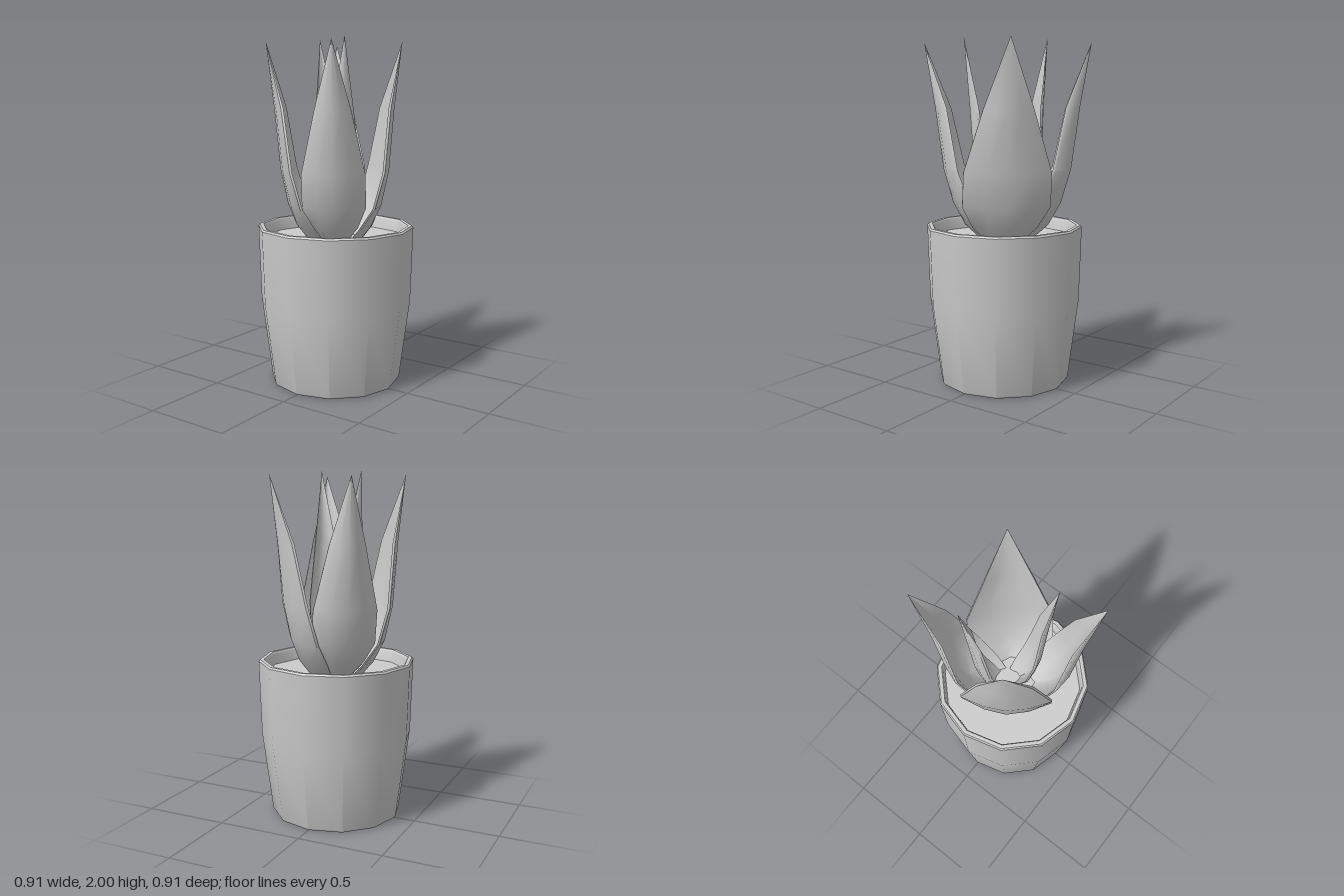
import * as THREE from 'three';
import { toCreasedNormals } from 'three/addons/utils/BufferGeometryUtils.js';

const material = new THREE.MeshStandardMaterial({ color: 0xcccccc, side: THREE.DoubleSide });

function addMesh(group, name, geometry, crease) {
  const mesh = new THREE.Mesh(toCreasedNormals(geometry, crease), material);
  mesh.name = name;
  group.add(mesh);
}

// Leaf stations: height, half width, outward reach of the edges, outward reach of the midrib
const STATIONS = [
  [0.83, 0.1, 0, 0.08],
  [0.92, 0.185, 0.05, 0.15],
  [1.05, 0.25, 0.12, 0.2],
  [1.25, 0.245, 0.175, 0.24],
  [1.6, 0.138, 0.225, 0.272],
  [1.975, 0, 0.315, 0.315],
];
const COLUMNS = [-1, -0.5, 0, 0.5, 1];

// Thin cupped leaf: the outer face runs left to right, the inner face returns
function leafGeometry({ root, out, width, reach, tip }) {
  const u = new THREE.Vector2(...out).normalize();
  const positions = [], indices = [];
  const n = COLUMNS.length * 2;
  STATIONS.forEach(([y, w, edge, rib], row) => {
    const last = row === STATIONS.length - 1;
    const thickness = last ? 0 : 0.014;
    for (let k = 0; k < n; k++) {
      const inner = k >= COLUMNS.length;
      const s = COLUMNS[inner ? n - 1 - k : k];
      const bulge = 1 - Math.pow(Math.abs(s), 1.75);
      const d = (edge + (rib - edge) * bulge) * reach - (inner ? thickness : 0);
      const t = s * w * width;
      positions.push(root[0] + u.x * d + u.y * t, last ? tip : y, root[1] + u.y * d - u.x * t);
    }
  });
  for (let i = 0; i < STATIONS.length - 1; i++) {
    for (let k = 0; k < n; k++) {
      const a = i * n + k, b = i * n + (k + 1) % n;
      indices.push(a, b, b + n);
      if (i < STATIONS.length - 2) indices.push(a, b + n, a + n);
    }
  }
  const geometry = new THREE.BufferGeometry();
  geometry.setAttribute('position', new THREE.Float32BufferAttribute(positions, 3));
  geometry.setIndex(indices);
  return geometry;
}

export function createModel() {
  const model = new THREE.Group();

  // Twelve-sided pot with a thin rim and hollow top
  const profile = [
    [0, 0], [0.375, 0], [0.382, 0.01], [0.442, 0.48], [0.455, 0.915],
    [0.447, 0.925], [0.425, 0.925], [0.418, 0.915], [0.405, 0.82],
  ].map(([r, y]) => new THREE.Vector2(r, y));
  addMesh(model, 'pot', new THREE.LatheGeometry(profile, 12), 0.62);

  // Soil disc inside the pot
  const soil = new THREE.CylinderGeometry(0.41, 0.405, 0.03, 12);
  soil.translate(0, 0.835, 0);
  addMesh(model, 'soil', soil, 0.62);

  // Two broad, two medium and two slender leaves; root and out are x, z
  const leaves = [
    ['broadLeafFront', { root: [0.045, 0.055], out: [0.67, 0.74], width: 1, reach: 1, tip: 1.98 }],
    ['broadLeafBack', { root: [-0.025, -0.07], out: [-0.57, -0.82], width: 1.02, reach: 1.03, tip: 1.98 }],
    ['mediumLeafLeft', { root: [0.03, -0.03], out: [0.84, -0.54], width: 0.72, reach: 1.45, tip: 1.97 }],
    ['mediumLeafRight', { root: [-0.015, 0.01], out: [-0.845, 0.535], width: 0.72, reach: 1.39, tip: 1.97 }],
    ['slenderLeafBack', { root: [0.05, -0.025], out: [0.47, -0.88], width: 0.43, reach: 0.7, tip: 2 }],
    ['slenderLeafFront', { root: [0.02, 0.015], out: [-0.75, 0.66], width: 0.43, reach: 0.74, tip: 2 }],
  ];
  for (const [name, shape] of leaves) addMesh(model, name, leafGeometry(shape), 1);

  return model;
}
